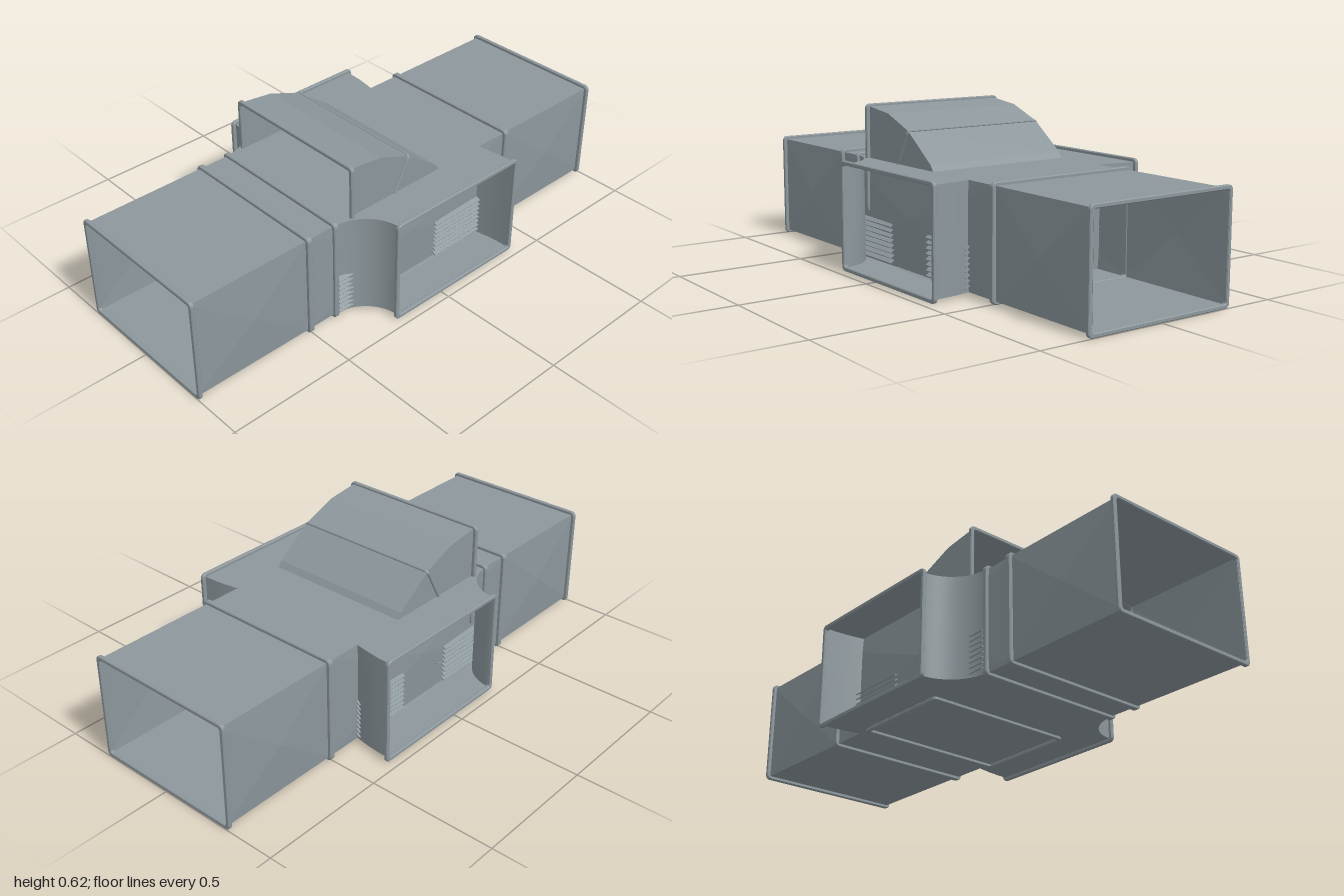
import * as THREE from 'three';

const Y0 = 0.0125, Y1 = 0.4075, YM = 0.21, HALF = 0.297;

export function createModel() {
  const model = new THREE.Group();
  model.name = 'ductJunction';
  const steel = new THREE.MeshStandardMaterial({ color: 0x8c979c, side: THREE.DoubleSide });
  steel.name = 'galvanised steel';

  const add = (parent, name, geometry) => {
    const mesh = new THREE.Mesh(geometry, steel);
    mesh.name = name;
    parent.add(mesh);
    return mesh;
  };
  const group = (parent, name) => {
    const g = new THREE.Group();
    g.name = name;
    parent.add(g);
    return g;
  };

  // Sheet of metal stretched between two polylines of equal length
  const sheet = (a, b, faceted = false) => {
    const index = [];
    for (let i = 0; i < a.length - 1; i++) {
      const k = 2 * i;
      index.push(k, k + 1, k + 2, k + 1, k + 3, k + 2);
    }
    let g = new THREE.BufferGeometry();
    g.setAttribute('position', new THREE.Float32BufferAttribute(a.flatMap((p, i) => [...p, ...b[i]]), 3));
    g.setIndex(index);
    if (faceted) g = g.toNonIndexed();
    g.computeVertexNormals();
    return g;
  };

  // Side panel creased along its diagonals, with a slightly raised centre
  const creasedPanel = (x0, x1, s) => {
    const z = HALF * s;
    const c = [[x0, Y0, z], [x1, Y0, z], [x1, Y1, z], [x0, Y1, z]];
    const peak = [(x0 + x1) / 2, YM, z + 0.012 * s];
    const points = [];
    for (let i = 0; i < 4; i++) points.push(...c[i], ...c[(i + 1) % 4], ...peak);
    const g = new THREE.BufferGeometry();
    g.setAttribute('position', new THREE.Float32BufferAttribute(points, 3));
    g.computeVertexNormals();
    return g;
  };

  // Rounded rectangular frame, lying in the xy plane and centred on the origin
  const roundedRect = (path, w, h, r) => {
    const x = w / 2, y = h / 2;
    path.absarc(x - r, y - r, r, 0, Math.PI / 2);
    path.absarc(r - x, y - r, r, Math.PI / 2, Math.PI);
    path.absarc(r - x, r - y, r, Math.PI, Math.PI * 1.5);
    path.absarc(x - r, r - y, r, Math.PI * 1.5, Math.PI * 2);
    path.closePath();
    return path;
  };
  const frame = (w, h, depth, rim = 0.016) => {
    const shape = roundedRect(new THREE.Shape(), w, h, 0.018);
    shape.holes.push(roundedRect(new THREE.Path(), w - 2 * rim, h - 2 * rim, 0.008));
    const bevel = 0.003;
    const g = new THREE.ExtrudeGeometry(shape, {
      depth: depth - 2 * bevel, curveSegments: 4,
      bevelSize: bevel, bevelThickness: bevel, bevelOffset: -bevel, bevelSegments: 1,
    });
    return g.translate(0, 0, bevel - depth / 2);
  };
  const flangeX = (name, x, depth) => {
    const f = add(model, name, frame(0.622, 0.42, depth));
    f.rotation.y = Math.PI / 2;
    f.position.set(x, YM, 0);
  };

  // Three straight duct lengths
  for (const [name, x0, x1] of [['rightDuct', -1, -0.5], ['middleDuct', -0.5, 0.5], ['leftDuct', 0.5, 1]]) {
    const duct = group(model, name);
    for (const y of [Y0, Y1]) {
      add(duct, 'flatPanel', sheet([[x0, y, -HALF], [x1, y, -HALF]], [[x0, y, HALF], [x1, y, HALF]]));
    }
    for (const s of [-1, 1]) add(duct, 'creasedPanel', creasedPanel(x0, x1, s));
  }
  flangeX('endFlange', -0.992, 0.016);
  flangeX('endFlange', 0.992, 0.016);
  flangeX('jointFlange', -0.5, 0.022);
  flangeX('jointFlange', 0.5, 0.022);
  flangeX('branchFlange', -0.38, 0.02);

  // Two smooth elbows sweeping to the front and back
  const arc = (r, y, s) => Array.from({ length: 25 }, (_, i) => {
    const a = (i / 24) * Math.PI / 2;
    return [-0.38 + r * Math.sin(a), y, s * (0.46 - r * Math.cos(a))];
  });
  for (const [name, s] of [['frontBranch', 1], ['backBranch', -1]]) {
    const branch = group(model, name);
    const rIn = 0.16, rOut = 0.752;
    for (const r of [rIn, rOut]) add(branch, 'curvedWall', sheet(arc(r, Y0, s), arc(r, Y1, s)));
    for (const y of [Y0, Y1]) add(branch, 'flatPanel', sheet(arc(rIn, y, s), arc(rOut, y, s)));
    add(branch, 'openingFlange', frame(0.622, 0.42, 0.016)).position.set(0.076, YM, s * 0.457);
  }

  // Faceted elbow rising from the floor and opening to the right
  const riser = group(model, 'upperElbow');
  riser.position.x = -0.31;
  const steps = [0, 14, 28, 45, 62, 76, 90];
  const bend = (r, z) => steps.map((d) => {
    const a = THREE.MathUtils.degToRad(d);
    return [r * Math.sin(a), r * Math.cos(a), z];
  });
  for (const r of [0.203, 0.608]) add(riser, 'curvedWall', sheet(bend(r, -HALF), bend(r, HALF), true));
  for (const z of [-HALF, HALF]) add(riser, 'sideWall', sheet(bend(0.203, z), bend(0.608, z)));
  for (const [name, degrees, w, h, d, shift] of [
    ['openingFlange', 0, 0.622, 0.42, 0.016, 0.008],
    ['seamRib', 28, 0.608, 0.416, 0.01, 0],
    ['seamRib', 62, 0.608, 0.416, 0.01, 0],
    ['floorFlange', 90, 0.622, 0.42, 0.014, -0.007],
  ]) {
    const pivot = group(riser, name + 'Pivot');
    pivot.rotation.z = -THREE.MathUtils.degToRad(degrees);
    const f = add(pivot, name, frame(w, h, d));
    f.rotation.y = Math.PI / 2;
    f.position.set(shift, 0.4055, 0);
  }

  // Louvre banks on both sides of the middle duct
  const slat = new THREE.BoxGeometry(0.25, 0.004, 0.02);
  for (const s of [-1, 1]) {
    for (const x of [-0.25, 0.24]) {
      const bank = group(model, 'louvres');
      for (let i = 0; i < 8; i++) {
        const blade = add(bank, 'louvreBlade', slat);
        blade.position.set(x, 0.032 + i * 0.02, s * 0.309);
        blade.rotation.x = s * 0.6;
      }
    }
  }
  return model;
}
